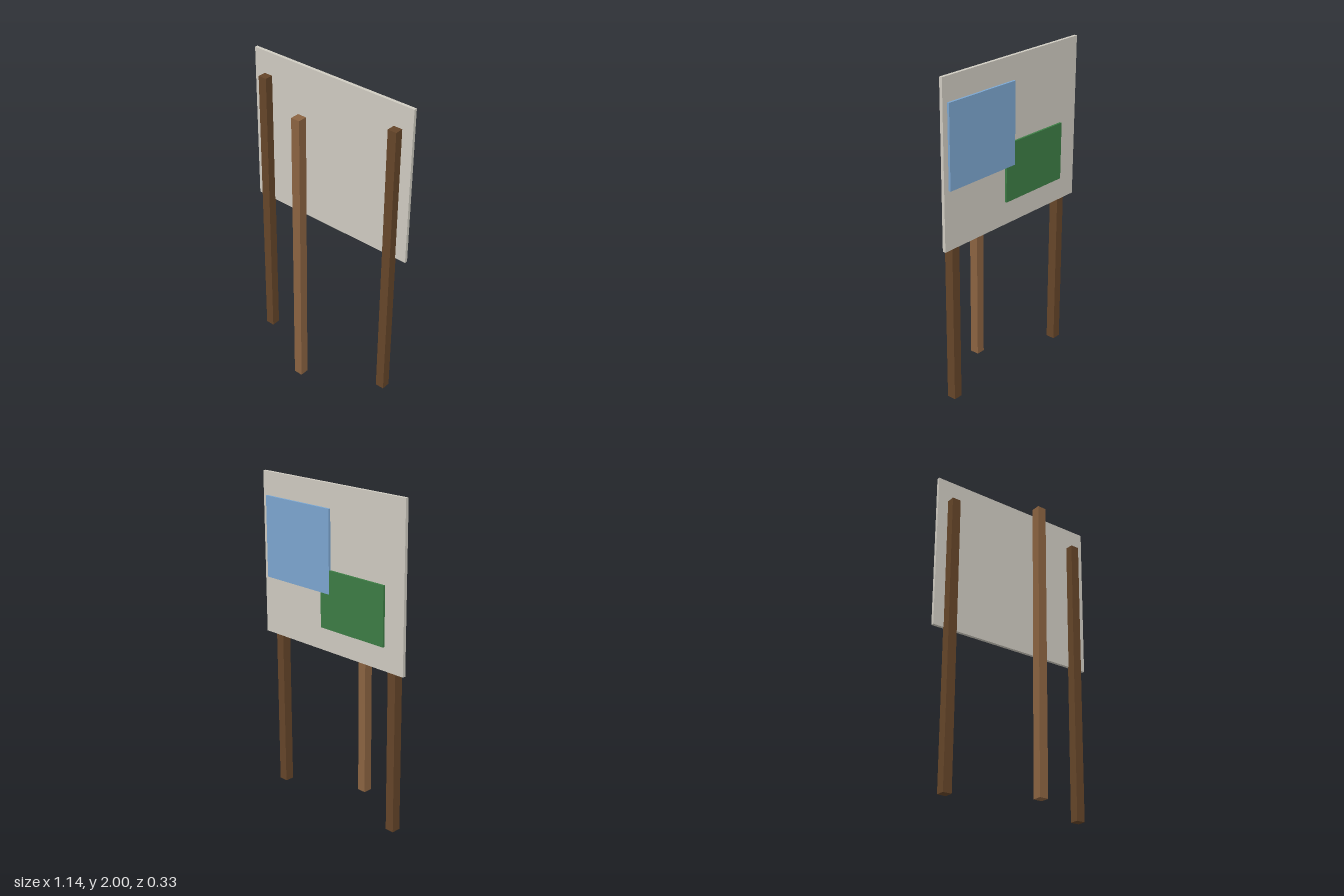
import * as THREE from 'three';

const material = (name, color) => {
  const m = new THREE.MeshStandardMaterial({ color });
  m.name = name;
  return m;
};

export function createModel() {
  const group = new THREE.Group();
  const darkWood = material('dark wood', 0x654529);
  const lightWood = material('light wood', 0x8b6341);
  const board = material('pale board', 0xcfcbc1);
  const blue = material('blue', 0x7ca6d0);
  const green = material('green', 0x3d7d45);

  // Box given by its lower and upper limits on each axis
  const box = (name, mat, [x0, x1], [y0, y1], [z0, z1]) => {
    const mesh = new THREE.Mesh(new THREE.BoxGeometry(x1 - x0, y1 - y0, z1 - z0), mat);
    mesh.position.set((x0 + x1) / 2, (y0 + y1) / 2, (z0 + z1) / 2);
    mesh.name = name;
    group.add(mesh);
  };

  // Square posts: two carry the board, one stands free in front
  const half = 0.0286, top = 1.857;
  const post = (name, mat, x, z) =>
    box(name, mat, [x - half, x + half], [0, top], [z - half, z + half]);
  post('leftPost', darkWood, 0.471, -0.107);
  post('rightPost', darkWood, -0.471, -0.107);
  post('frontPost', lightWood, 0, 0.136);

  // Board fixed behind the posts
  box('board', board, [-0.571, 0.571], [1, 2], [-0.151, -0.131]);

  // Two overlapping panels on the back of the board
  box('bluePanel', blue, [0, 0.536], [1.357, 1.857], [-0.165, -0.15]);
  box('greenPanel', green, [-0.429, 0.071], [1.143, 1.5], [-0.1645, -0.15]);

  return group;
}
